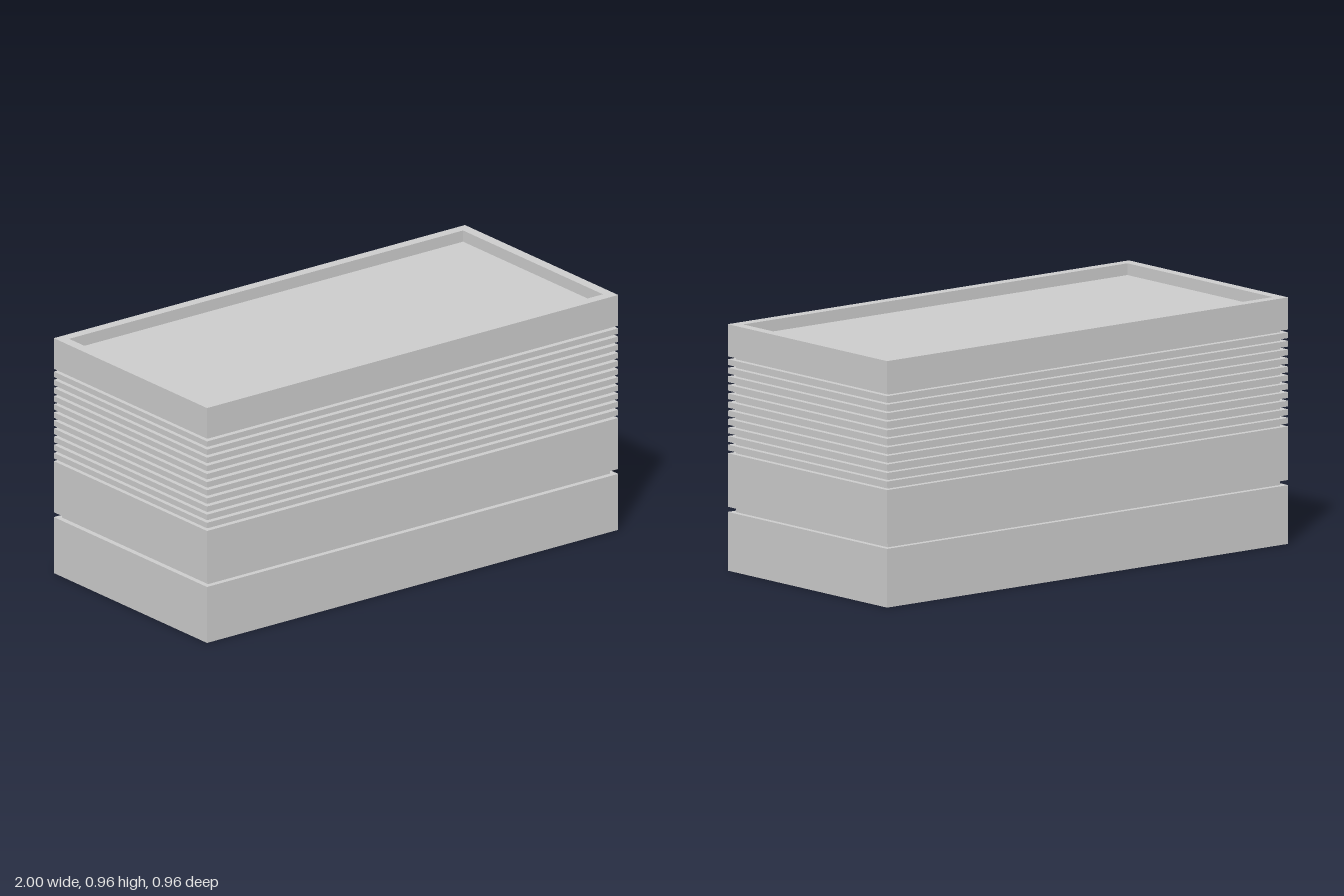
import * as THREE from 'three';

const W = 2, D = 0.96, TOP = 0.965;
const GROOVE = 0.022; // depth of the recesses between bands
const RIM = 0.042, TRAY_DEPTH = 0.046;

export function createModel() {
  const group = new THREE.Group();
  const material = new THREE.MeshStandardMaterial({ color: 0xcccccc });

  const add = (name, geometry, y) => {
    const mesh = new THREE.Mesh(geometry, material);
    mesh.name = name;
    mesh.position.y = y;
    group.add(mesh);
    return mesh;
  };
  // Centred block between two heights, inset evenly on all four sides
  const block = (name, y0, y1, inset = 0) =>
    add(name, new THREE.BoxGeometry(W - 2 * inset, y1 - y0, D - 2 * inset), (y0 + y1) / 2);

  // Plinth and lower body, separated by a shadow gap
  block('base', 0, 0.23);
  block('lowerBody', 0.25, 0.46);

  // Recessed core showing in every gap
  block('core', 0.22, 0.85, GROOVE);

  // Horizontal slats
  const slats = 11, slatHeight = 0.0223, lidBottom = 0.839;
  const gap = (lidBottom - 0.46 - slats * slatHeight) / (slats + 1);
  for (let i = 0; i < slats; i++) {
    const y = 0.46 + gap + i * (slatHeight + gap);
    block('slat' + (i + 1), y, y + slatHeight);
  }

  // Upper band: a rectangular frame around a sunken top panel
  const rectangle = (Type, w, d) => new Type([
    new THREE.Vector2(-w, -d), new THREE.Vector2(w, -d),
    new THREE.Vector2(w, d), new THREE.Vector2(-w, d),
  ]);
  const frame = rectangle(THREE.Shape, W / 2, D / 2);
  frame.holes.push(rectangle(THREE.Path, W / 2 - RIM, D / 2 - RIM));
  const frameGeometry = new THREE.ExtrudeGeometry(frame, { depth: TOP - lidBottom, bevelEnabled: false });
  frameGeometry.rotateX(-Math.PI / 2);
  add('topFrame', frameGeometry, lidBottom);
  block('topPanel', lidBottom, TOP - TRAY_DEPTH, RIM);

  return group;
}
